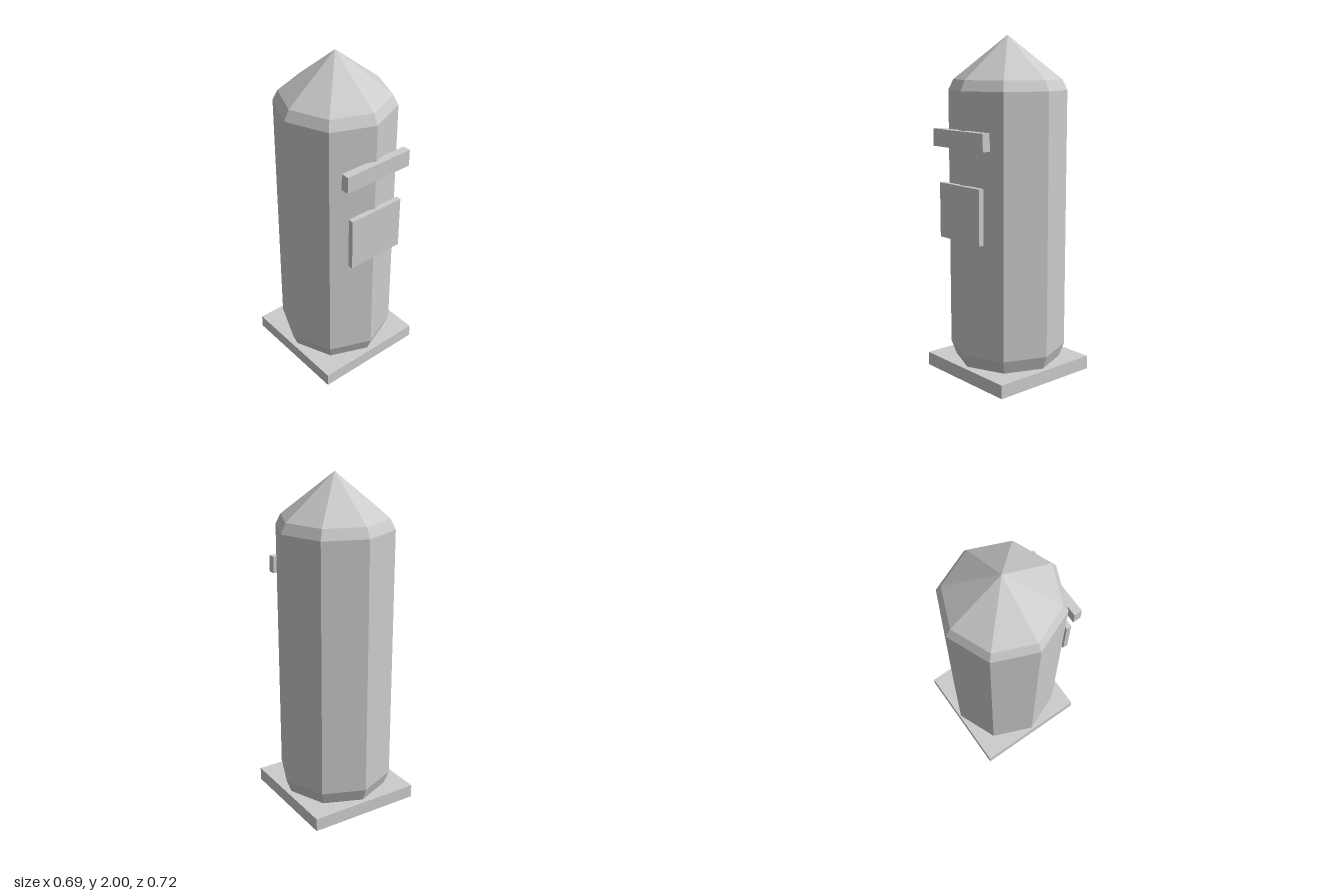
import * as THREE from 'three';

export function createModel() {
  const group = new THREE.Group();
  const grey = new THREE.MeshStandardMaterial({ color: 0xcccccc, flatShading: true });
  grey.name = 'light grey';
  const centreZ = -0.013;

  const add = (name, geometry, x, y, z) => {
    const mesh = new THREE.Mesh(geometry, grey);
    mesh.name = name;
    mesh.position.set(x, y, z);
    group.add(mesh);
  };

  // Square plinth
  add('basePlate', new THREE.BoxGeometry(0.69, 0.08, 0.69), 0, 0.04, centreZ);

  // Eight-sided pillar with bevelled ends and a pointed cap, corners on the axes
  const profile = [
    [0, 0.08], [0.315, 0.08], [0.345, 0.16], [0.345, 1.69], [0.315, 1.75], [0, 2],
  ].map(([r, y]) => new THREE.Vector2(r, y));
  add('pillar', new THREE.LatheGeometry(profile, 8), 0, 0, centreZ);

  // Slot hood and notice plate on the front corner
  add('slotHood', new THREE.BoxGeometry(0.444, 0.1, 0.049), 0, 1.423, 0.3335);
  add('noticePlate', new THREE.BoxGeometry(0.355, 0.32, 0.032), 0, 1.005, 0.334);

  return group;
}
